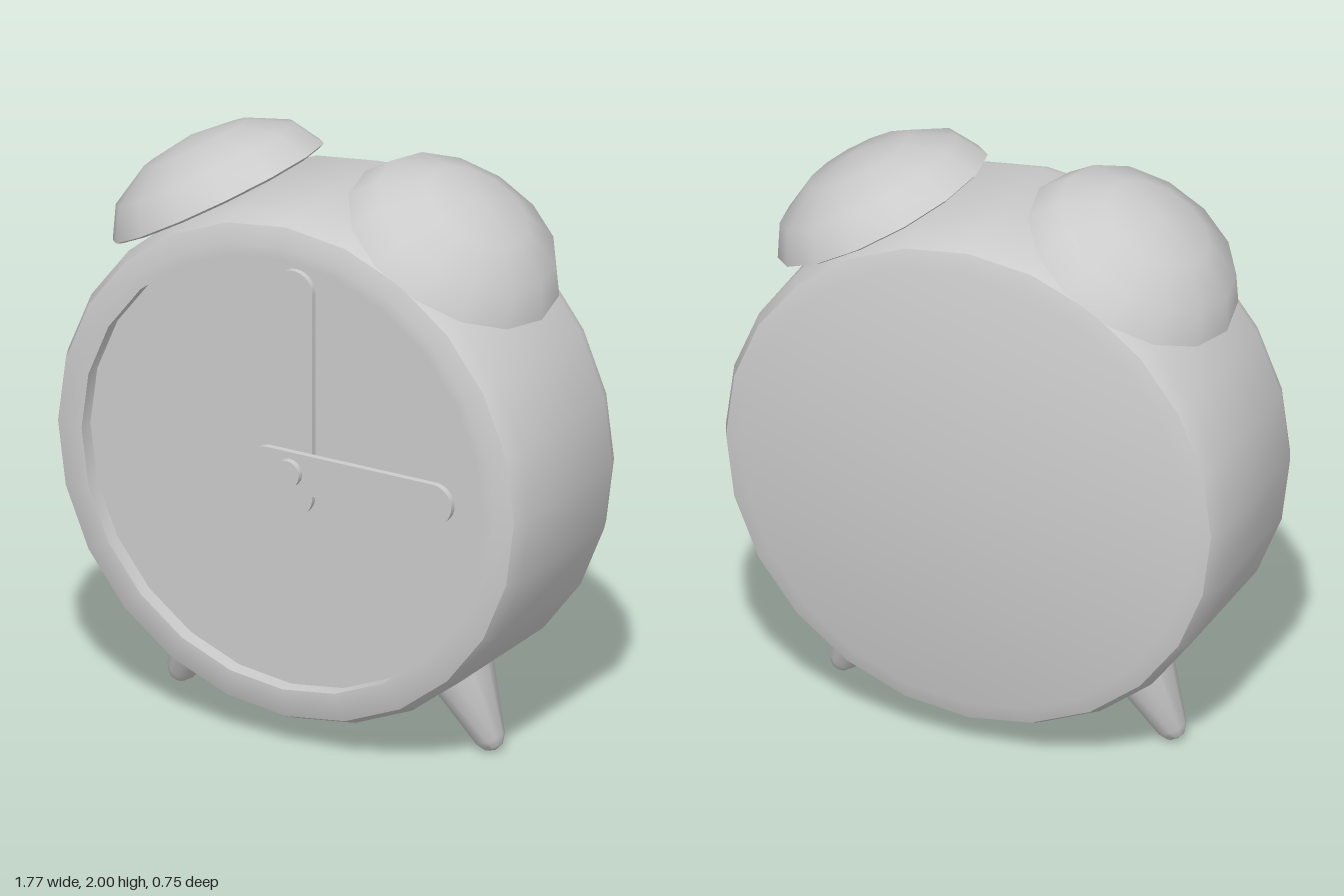
import * as THREE from 'three';
import { toCreasedNormals } from 'three/addons/utils/BufferGeometryUtils.js';

const material = new THREE.MeshStandardMaterial({ color: 0xcccccc });

function addMesh(parent, name, geometry, x = 0, y = 0, z = 0) {
  const mesh = new THREE.Mesh(geometry, material);
  mesh.name = name;
  mesh.position.set(x, y, z);
  parent.add(mesh);
  return mesh;
}

// Lathe with smooth sides and sharp edges; profile runs upwards as [radius, height]
function turned(profile, sides) {
  const points = profile.map(([r, h]) => new THREE.Vector2(r, h));
  return toCreasedNormals(new THREE.LatheGeometry(points, sides).rotateY(Math.PI / 2), 0.7);
}

// Flat bar with round ends, along x from x0 to x1
function roundedBar(x0, x1, r, depth) {
  const shape = new THREE.Shape();
  shape.absarc(x1 - r, 0, r, -Math.PI / 2, Math.PI / 2);
  shape.absarc(x0 + r, 0, r, Math.PI / 2, Math.PI * 1.5);
  const bar = new THREE.ExtrudeGeometry(shape, { depth, bevelEnabled: false, curveSegments: 10 });
  return toCreasedNormals(bar, 0.7);
}

export function createModel() {
  const clock = new THREE.Group();
  clock.name = 'alarmClock';
  const centreY = 0.973;

  // Drum with bevelled rims and a recessed dial
  const drum = turned([
    [0, -0.342], [0.8, -0.342], [0.862, -0.32], [0.887, -0.265],
    [0.887, 0.265], [0.862, 0.32], [0.8, 0.342], [0.76, 0.342],
    [0.76, 0.285], [0, 0.285],
  ], 24).rotateX(Math.PI / 2);
  addMesh(clock, 'body', drum, 0, centreY);

  // Hands and their pin
  const hands = new THREE.Group();
  hands.name = 'hands';
  hands.position.set(0.02, 0.98, 0);
  clock.add(hands);
  const minute = roundedBar(-0.16, 0.7, 0.07, 0.022).rotateZ(Math.PI / 2);
  addMesh(hands, 'minuteHand', minute, 0, 0, 0.283);
  addMesh(hands, 'hourHand', roundedBar(-0.155, 0.61, 0.07, 0.022), 0, 0, 0.308);
  const pin = new THREE.CylinderGeometry(0.047, 0.047, 0.07, 16).rotateX(Math.PI / 2);
  addMesh(hands, 'centrePin', pin, 0, 0, 0.317);

  // Tilted bells and splayed feet, mirrored on both sides
  const bell = turned([
    [0, -0.008], [0.365, -0.008], [0.385, 0], [0.325, 0.102], [0.187, 0.177], [0, 0.207],
  ], 14);
  const foot = turned([[0, 0], [0.03, 0.01], [0.05, 0.04], [0.127, 0.34], [0, 0.34]], 10);
  for (const [side, s] of [['left', 1], ['right', -1]]) {
    addMesh(clock, side + 'Bell', bell, s * 0.445, 1.752).rotation.z = -s * Math.PI / 6;
    addMesh(clock, side + 'Foot', foot, s * 0.603, 0.005).rotation.z = s * 0.47;
  }
  return clock;
}
